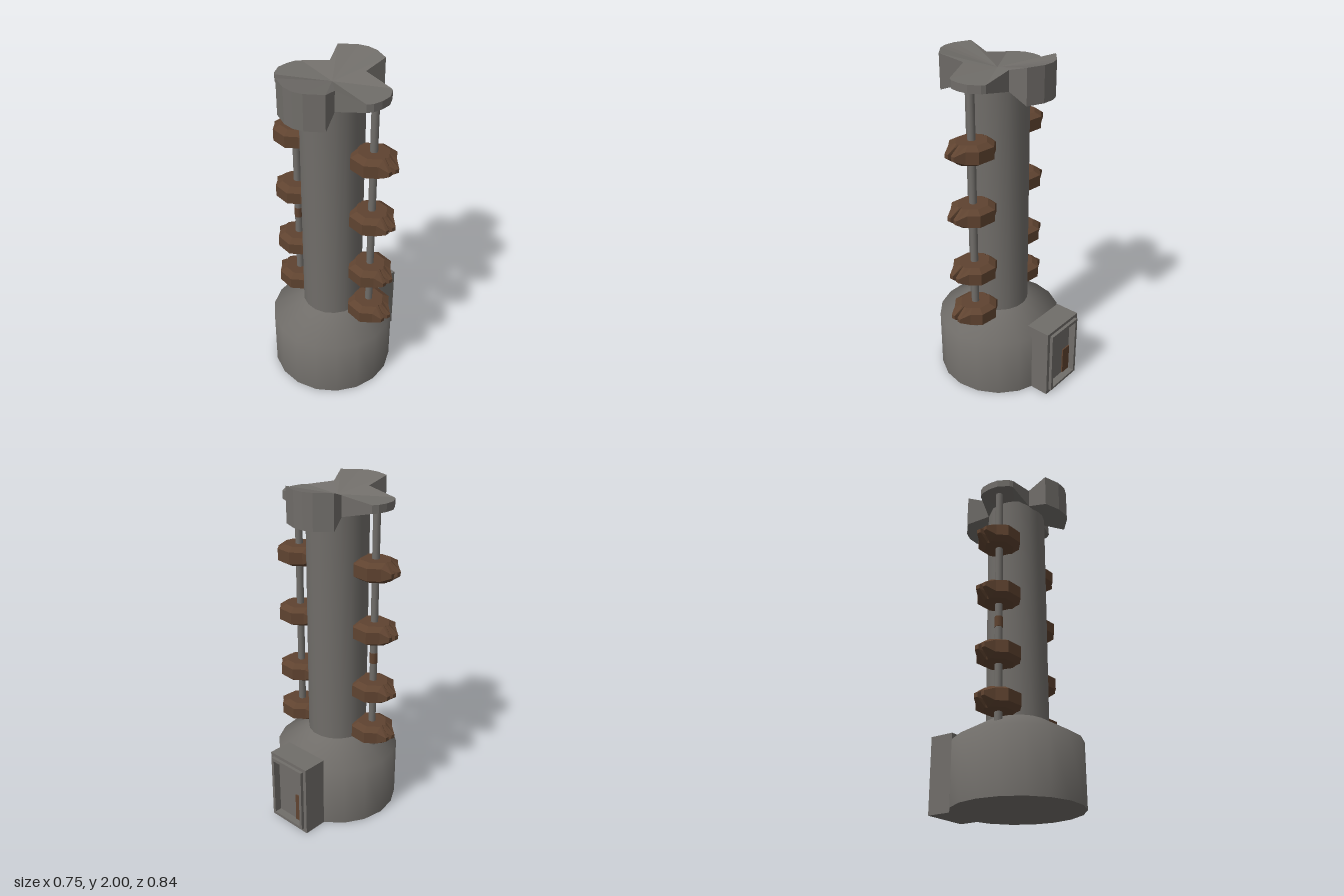
import * as THREE from 'three';
import { toCreasedNormals } from 'three/addons/utils/BufferGeometryUtils.js';

const CX = -0.007, CZ = 0.057; // tower axis

// Solid from stacked rings of [x, y, z] points, bottom to top, closed with fans
function loft(rings) {
  const pos = [];
  const tri = (a, b, c) => pos.push(...a, ...b, ...c);
  const n = rings[0].length;
  const low = rings[0], high = rings[rings.length - 1];
  const lowest = [0, Math.max(...low.map((p) => p[1])), 0];
  const highest = [0, Math.min(...high.map((p) => p[1])), 0];
  for (let i = 0; i < n; i++) {
    const j = (i + 1) % n;
    tri(lowest, low[j], low[i]);
    tri(highest, high[i], high[j]);
    for (let k = 0; k + 1 < rings.length; k++) {
      const a = rings[k], b = rings[k + 1];
      tri(a[i], a[j], b[j]);
      tri(a[i], b[j], b[i]);
    }
  }
  const g = new THREE.BufferGeometry();
  g.setAttribute('position', new THREE.Float32BufferAttribute(pos, 3));
  g.computeVertexNormals();
  return g;
}

// Half outline plus its half-turn copy
const halfTurn = (half) => [...half, ...half.map(([x, z, ...rest]) => [-x, -z, ...rest])];

// Rectangular ring, extruded along +z
function ringFrame(w, y0, y1, holeW, h0, h1, depth) {
  const rect = (path, a, b, c) => path.moveTo(-a / 2, b).lineTo(a / 2, b).lineTo(a / 2, c).lineTo(-a / 2, c).closePath();
  const shape = new THREE.Shape();
  rect(shape, w, y0, y1);
  const hole = new THREE.Path();
  rect(hole, holeW, h0, h1);
  shape.holes.push(hole);
  return new THREE.ExtrudeGeometry(shape, { depth, bevelEnabled: false });
}

export function createModel() {
  const model = new THREE.Group();
  model.name = 'tower';
  const stone = new THREE.MeshStandardMaterial({ color: 0x706d69 });
  stone.name = 'grey stone';
  const rust = new THREE.MeshStandardMaterial({ color: 0x5f4330 });
  rust.name = 'rusty brown';

  const add = (parent, name, geometry, material, x = 0, y = 0, z = 0) => {
    const mesh = new THREE.Mesh(geometry, material);
    mesh.name = name;
    mesh.position.set(x, y, z);
    parent.add(mesh);
    return mesh;
  };
  const lathe = (points) => toCreasedNormals(
    new THREE.LatheGeometry(points.map(([r, y]) => new THREE.Vector2(r, y)), 18, Math.PI / 2), 1.2);

  // Round base with sloping shoulder, and the shaft
  add(model, 'base', lathe([[0, 0], [0.37, 0], [0.37, 0.37], [0.178, 0.482]]), stone, CX, 0, CZ);
  add(model, 'column', lathe([[0.178, 0.47], [0.178, 1.87]]), stone, CX, 0, CZ);

  // Four-lobed cap: [x, z, bottom, top]; two lobes flare tall, two taper thin
  const notch = (x, z) => [x, z, 1.845, 1.96];
  const tall = [[-0.263, 0.153], [-0.213, 0.243], [-0.163, 0.288], [-0.108, 0.308], [0.002, 0.308]];
  const thin = [[0.192, 0.238], [0.227, 0.228], [0.267, 0.193], [0.302, 0.143], [0.312, 0.073], [0.305, 0.05]];
  const capOutline = halfTurn([
    notch(-0.168, 0.063), ...tall.map((p) => [...p, 1.8, 2]),
    notch(0.032, 0.178), ...thin.map((p) => [...p, 1.88, 1.925]),
  ]);
  add(model, 'cap', loft([
    capOutline.map(([x, z, b]) => [x, b, z]),
    capOutline.map(([x, z, , t]) => [x, t, z]),
  ]), stone, CX, 0, CZ);

  // Faceted insulator: [x, z, half height of rim, scale of the flat ends]
  const rim = halfTurn([
    [-0.12, 0.045, 0.035, 0.68], [-0.045, 0.12, 0.035, 0.68], [0.03, 0.12, 0.035, 0.68],
    [0.085, 0.135, 0.012, 0.6], [0.1, 0.117, 0.012, 0.62], [0.07, 0.07, 0.02, 0.85],
    [0.117, 0.1, 0.012, 0.62], [0.135, 0.085, 0.012, 0.6], [0.12, 0.025, 0.035, 0.68],
  ]);
  const end = (y) => rim.map(([x, z, , s]) => [x * s, y, z * s]);
  const side = (sign) => rim.map(([x, z, h]) => [x, sign * h, z]);
  const insulator = loft([end(-0.057), side(-1), side(1), end(0.057)]);

  // Two rods, each threaded with four insulators
  for (const [name, x, z] of [['front', 0.225, 0.19], ['back', -0.224, -0.068]]) {
    const rod = new THREE.Group();
    rod.name = name + 'RodAssembly';
    rod.position.set(x, 0, z);
    add(rod, name + 'Rod', new THREE.CylinderGeometry(0.022, 0.022, 1.46, 10), stone, 0, 1.15, 0);
    for (const y of [0.535, 0.81, 1.18, 1.55]) add(rod, name + 'Insulator', insulator, rust, 0, y, 0);
    if (name === 'back') add(rod, 'rustBand', new THREE.CylinderGeometry(0.024, 0.024, 0.065, 10), rust, 0, 1.01, 0);
    model.add(rod);
  }

  // Entrance box at the back, local +z facing outward
  const entrance = new THREE.Group();
  entrance.name = 'entrance';
  entrance.position.set(0.258, 0, -0.328);
  entrance.rotation.y = Math.atan2(0.635, -0.772);
  add(entrance, 'entranceBox', new THREE.BoxGeometry(0.291, 0.445, 0.124), stone, 0, 0.2225, -0.087);
  add(entrance, 'entranceFace', ringFrame(0.291, 0, 0.445, 0.21, 0.04, 0.405, 0.025), stone, 0, 0, -0.025);
  add(entrance, 'doorRim', ringFrame(0.246, 0.025, 0.425, 0.21, 0.04, 0.405, 0.019), stone);
  add(entrance, 'rustPatch', new THREE.BoxGeometry(0.064, 0.175, 0.008), rust, 0.07, 0.13, -0.021);
  model.add(entrance);

  return model;
}
